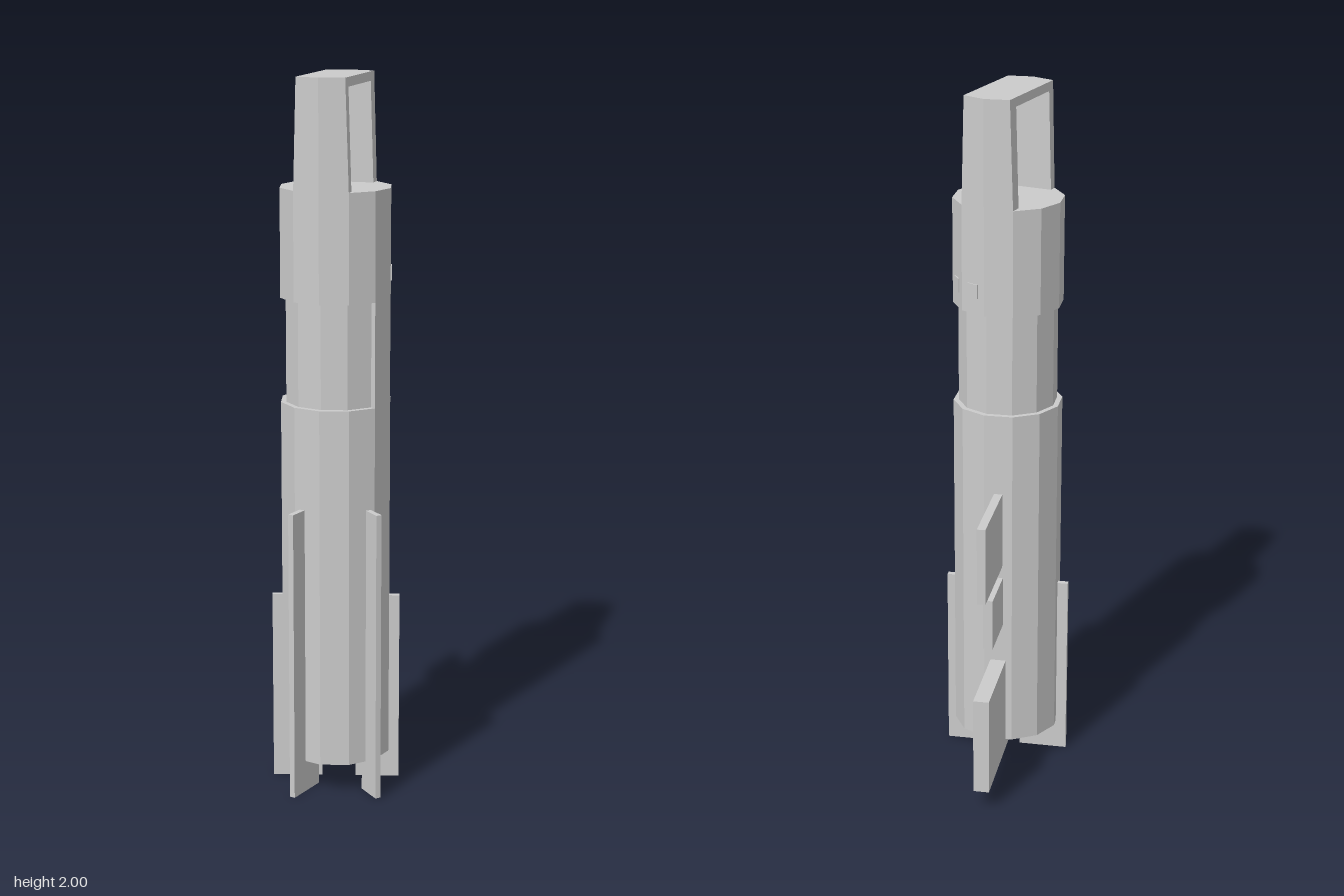
import * as THREE from 'three';

export function createModel() {
  const model = new THREE.Group();
  const mat = new THREE.MeshStandardMaterial({ color: 0xcccccc, flatShading: true });
  const R = 0.155, CZ = 0.1; // barrel radius and its axis in z

  const add = (name, geo) => {
    const m = new THREE.Mesh(geo, mat);
    m.name = name;
    model.add(m);
    return m;
  };

  // twelve-sided barrel sections
  const section = (name, r, y0, y1) =>
    add(name, new THREE.CylinderGeometry(r, r, y1 - y0, 12)).position.set(0, (y0 + y1) / 2, CZ);
  section('lowerBody', R, 0.09, 1.11);
  section('neck', 0.14, 1.11, 1.4);
  section('head', R, 1.4, 1.7);

  // raised strip bridging the neck along one facet
  const wedge = new THREE.CylinderGeometry(R, R, 0.29, 1, 1, false, Math.PI / 3, Math.PI / 6);
  add('neckStrip', wedge).position.set(0, 1.255, CZ);
  const cheek = (a) => {
    const s = new THREE.Mesh(new THREE.PlaneGeometry(0.055, 0.29), mat);
    s.material = mat.clone();
    s.material.side = THREE.DoubleSide;
    s.name = 'neckStripSide';
    s.rotation.y = a;
    s.position.set(Math.cos(a) * 0.1275, 1.255, CZ - Math.sin(a) * 0.1275);
    model.add(s);
  };
  cheek(0);
  cheek(-Math.PI / 6);

  // plate running outward from the axis: angle in degrees from +x towards -z
  const plate = (name, deg, r0, r1, thick, y0, y1, ox = 0) => {
    const a = THREE.MathUtils.degToRad(deg), r = (r0 + r1) / 2;
    const m = add(name, new THREE.BoxGeometry(r1 - r0, y1 - y0, thick));
    m.rotation.y = a;
    m.position.set(ox + Math.cos(a) * r, (y0 + y1) / 2, CZ - Math.sin(a) * r);
  };

  // bit teeth
  plate('lowerTooth', 105, 0.05, 0.406, 0.045, 0.06, 0.35);
  plate('middleTooth', 105, 0.1, 0.304, 0.028, 0.465, 0.615);
  plate('upperTooth', 105, 0.1, 0.399, 0.024, 0.65, 0.875);

  // guide fins
  plate('shortFinLeft', 15, 0.055, 0.179, 0.016, 0, 0.545);
  plate('shortFinRight', 195, 0.04, 0.18, 0.016, 0, 0.545);
  plate('longFinLeft', -45, 0.107, 0.187, 0.016, 0, 0.825, 0.03);
  plate('longFinRight', -105, 0.075, 0.203, 0.016, 0, 0.825, -0.017);

  // small raised marks on the head
  for (const deg of [15, 45, 75]) plate('headMark', deg, 0.142, 0.153, 0.036, 1.445, 1.485);

  // arched handle: U outline in z and y, tapered upwards, ends following the barrel facets
  const u = new THREE.Shape();
  [[-R, 1.7], [-0.1, 1.7], [-0.1, 1.975], [0.11, 1.975], [0.11, 1.7], [R, 1.7], [R, 2], [-R, 2]]
    .forEach(([z, y], i) => (i ? u.lineTo(z, y) : u.moveTo(z, y)));
  const handle = new THREE.ExtrudeGeometry(u, { depth: 2, steps: 2, bevelEnabled: false });
  handle.translate(0, 0, -1).rotateY(-Math.PI / 2);
  // the turn maps the outline's first axis onto +z
  const p = handle.attributes.position;
  for (let i = 0; i < p.count; i++) {
    const y = p.getY(i), z = p.getZ(i);
    const x = p.getX(i) * (0.077 - ((y - 1.7) / 0.3) * 0.009);
    p.setX(i, x);
    if (Math.abs(z) > 0.14) p.setZ(i, Math.sign(z) * (R - 0.268 * Math.abs(x)));
  }
  handle.computeVertexNormals();
  add('handle', handle).position.z = CZ;

  return model;
}
